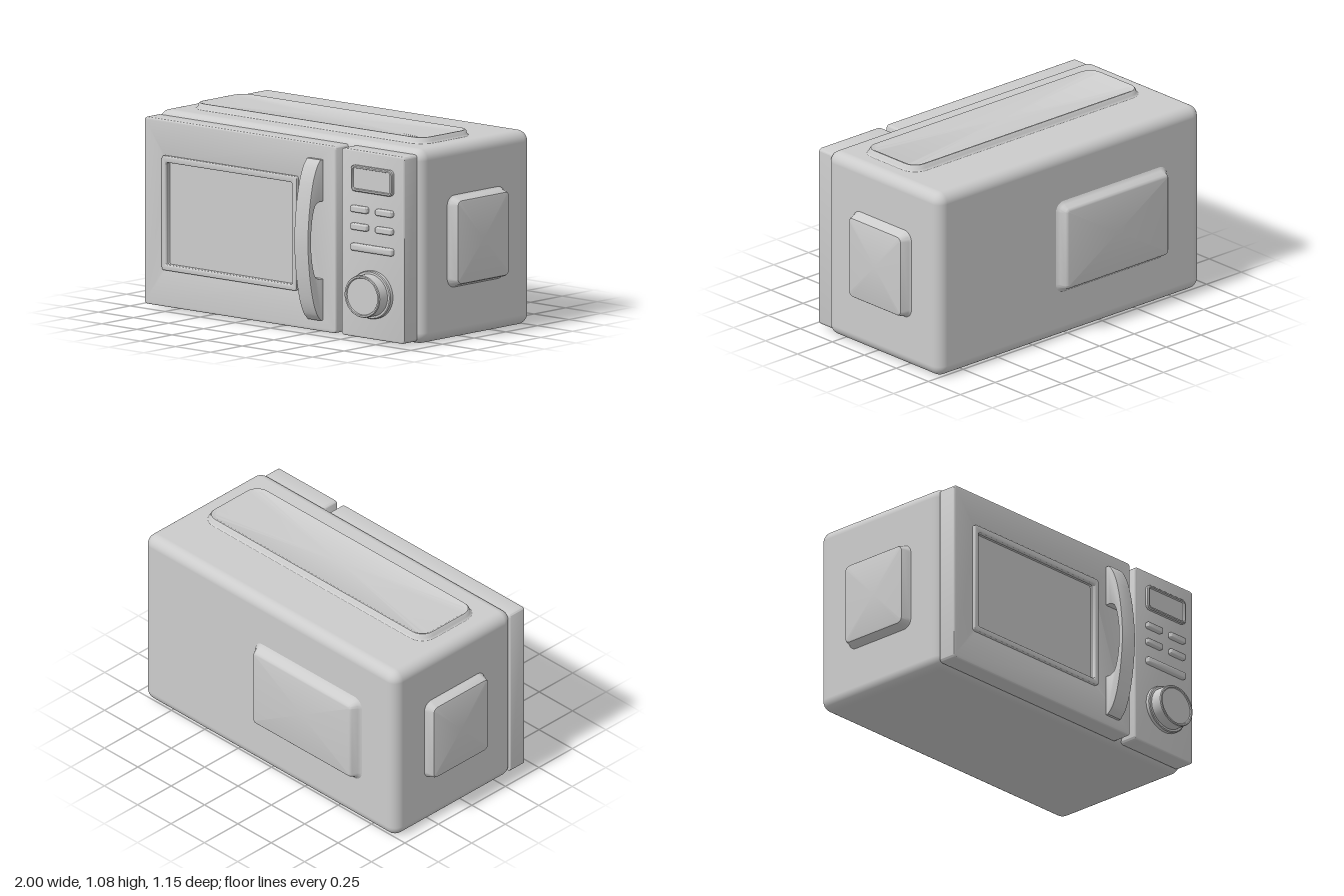
import * as THREE from 'three';
import { toCreasedNormals } from 'three/addons/utils/BufferGeometryUtils.js';
import { RoundedBoxGeometry } from 'three/addons/geometries/RoundedBoxGeometry.js';

const material = new THREE.MeshStandardMaterial({ color: 0xcccccc });

// Rounded rectangle outline, counter-clockwise
function roundedRect(cx, cy, w, h, r, Type = THREE.Shape) {
  const s = new Type(), x = w / 2 - r, y = h / 2 - r;
  s.absarc(cx + x, cy + y, r, 0, Math.PI / 2);
  s.absarc(cx - x, cy + y, r, Math.PI / 2, Math.PI);
  s.absarc(cx - x, cy - y, r, Math.PI, Math.PI * 1.5);
  s.absarc(cx + x, cy - y, r, Math.PI * 1.5, Math.PI * 2);
  s.closePath();
  return s;
}

// Rounded rectangles stacked along +z; profile holds [inset, height] pairs
function loft(w, h, r, profile, crease = 0.6) {
  const positions = [], index = [], steps = 8, n = 4 * (steps + 1);
  for (const [inset, z] of profile) {
    const rad = Math.max(r - inset, 0.004);
    for (let c = 0; c < 4; c++) {
      const sx = c === 0 || c === 3 ? 1 : -1, sy = c < 2 ? 1 : -1;
      for (let k = 0; k <= steps; k++) {
        const a = (c + k / steps) * Math.PI / 2;
        positions.push(sx * (w / 2 - inset - rad) + rad * Math.cos(a),
          sy * (h / 2 - inset - rad) + rad * Math.sin(a), z);
      }
    }
  }
  const last = (profile.length - 1) * n;
  positions.push(0, 0, profile[profile.length - 1][1]);
  for (let j = 0; j < n; j++) {
    const k = (j + 1) % n;
    for (let i = 0; i < last; i += n) {
      index.push(i + j, i + k, i + n + k, i + j, i + n + k, i + n + j);
    }
    index.push(last + j, last + k, last + n);
  }
  const g = new THREE.BufferGeometry();
  g.setAttribute('position', new THREE.Float32BufferAttribute(positions, 3));
  g.setIndex(index);
  return toCreasedNormals(g, crease);
}

// Bevelled plate between z0 and z1
function plate(shape, z0, z1, bevel) {
  const g = new THREE.ExtrudeGeometry(shape, {
    depth: z1 - z0 - 2 * bevel, bevelThickness: bevel, bevelSize: bevel,
    bevelOffset: -bevel, bevelSegments: 3, curveSegments: 8,
  });
  g.translate(0, 0, z0 + bevel);
  return toCreasedNormals(g, 0.6);
}

export function createModel() {
  const model = new THREE.Group();
  model.name = 'microwaveOven';
  const add = (name, geometry, x = 0, y = 0, z = 0) => {
    const mesh = new THREE.Mesh(geometry, material);
    mesh.name = name;
    mesh.position.set(x, y, z);
    model.add(mesh);
    return mesh;
  };
  const FRONT = 0.455;

  // Soft-edged housing
  add('housing', new RoundedBoxGeometry(1.888, 1.045, 0.88, 6, 0.06), -0.002, 0.5225, -0.08);

  // Raised pads on the sides, back and top
  const sideProfile = [[0, 0], [0.008, 0.006], [0.014, 0.016], [0.024, 0.05], [0.03, 0.059], [0.04, 0.062]];
  for (const side of [1, -1]) {
    add(side > 0 ? 'leftPad' : 'rightPad', loft(0.465, 0.505, 0.06, sideProfile),
      side * 0.938, 0.527, -0.078).rotation.y = side * Math.PI / 2;
  }
  const backProfile = [[0, 0], [0.012, 0.006], [0.022, 0.018], [0.036, 0.046], [0.044, 0.054], [0.052, 0.056]];
  add('backPad', loft(0.81, 0.53, 0.06, backProfile), -0.298, 0.515, -0.517).rotation.y = Math.PI;
  const topProfile = [[0, 0], [0.01, 0.004], [0.018, 0.014], [0.022, 0.028],
    [0.028, 0.034], [0.036, 0.034], [0.044, 0.029], [0.05, 0.028]];
  add('topPad', loft(1.68, 0.44, 0.1, topProfile), -0.002, 1.042, 0.008).rotation.x = -Math.PI / 2;

  // Door with its window opening, raised frame and recessed glass
  const window = [-0.32, 0.52, 0.9, 0.55, 0.012];
  const door = roundedRect(-0.257, 0.5175, 1.365, 1.005, 0.02);
  door.holes.push(roundedRect(...window, THREE.Path));
  add('door', plate(door, 0.345, FRONT, 0.008));
  const frame = roundedRect(-0.32, 0.522, 0.96, 0.615, 0.015);
  frame.holes.push(roundedRect(...window, THREE.Path));
  add('windowFrame', plate(frame, 0.45, 0.475, 0.006));
  add('windowGlass', new THREE.BoxGeometry(0.92, 0.57, 0.06), -0.32, 0.52, 0.41);

  // Arched door handle, drawn in side profile
  const arch = new THREE.Shape();
  const point = ([z, y]) => new THREE.Vector2(z, y);
  arch.moveTo(0.45, 0.075);
  arch.lineTo(0.47, 0.075);
  arch.splineThru([[0.505, 0.115], [0.537, 0.2], [0.563, 0.34], [0.575, 0.508],
    [0.563, 0.675], [0.537, 0.815], [0.505, 0.9], [0.475, 0.94]].map(point));
  arch.lineTo(0.45, 0.94);
  arch.lineTo(0.45, 0.715);
  arch.lineTo(0.48, 0.715);
  arch.splineThru([[0.512, 0.7], [0.532, 0.65], [0.544, 0.58], [0.548, 0.508],
    [0.544, 0.435], [0.532, 0.365], [0.512, 0.315], [0.48, 0.3]].map(point));
  arch.lineTo(0.45, 0.3);
  arch.closePath();
  const handle = new THREE.ExtrudeGeometry(arch, {
    depth: 0.088, bevelThickness: 0.006, bevelSize: 0.006, bevelOffset: -0.006,
    bevelSegments: 2, curveSegments: 32,
  });
  handle.rotateY(-Math.PI / 2);
  add('doorHandle', toCreasedNormals(handle, 0.6), 0.329);

  // Control panel
  add('controlPanel', plate(roundedRect(0.687, 0.5175, 0.447, 1.005, 0.02), 0.345, FRONT, 0.008));

  // Display: raised rim around a slightly sunken screen
  add('display', loft(0.295, 0.14, 0.025,
    [[0, -0.005], [0, 0.014], [0.005, 0.02], [0.013, 0.02], [0.016, 0.01]]), 0.692, 0.87, FRONT);

  // Buttons
  const buttonProfile = [[0, -0.005], [0, 0.014], [0.003, 0.02], [0.008, 0.023]];
  for (const y of [0.705, 0.61]) {
    for (const x of [0.602, 0.779]) add('button', loft(0.118, 0.036, 0.012, buttonProfile), x, y, FRONT);
  }
  add('longButton', loft(0.295, 0.04, 0.012, buttonProfile), 0.692, 0.5, FRONT);

  // Slightly oval dial on a low collar
  const dial = new THREE.LatheGeometry([
    [0.142, -0.005], [0.142, 0.018], [0.137, 0.023], [0.125, 0.024], [0.125, 0.085],
    [0.121, 0.09], [0.112, 0.09], [0.108, 0.084], [0, 0.084],
  ].map(point), 48);
  dial.rotateX(Math.PI / 2);
  dial.scale(1, 0.905, 1);
  add('dial', toCreasedNormals(dial, 0.6), 0.69, 0.257, FRONT);

  return model;
}
